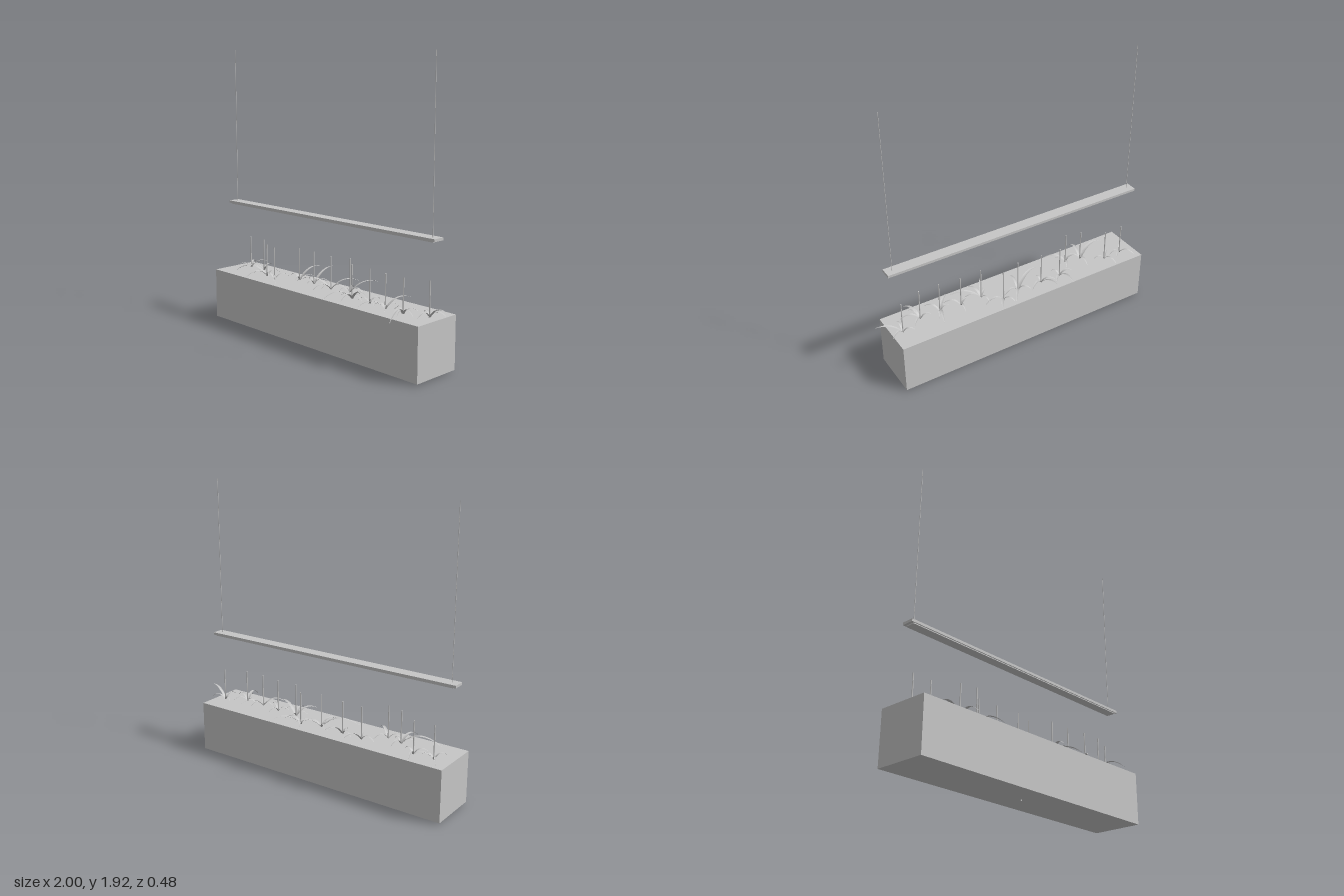
import * as THREE from 'three';

const Z = 0.01; // centre line of the planter and lamp
const MID = -0.0475;
const SOIL = 0.357;

// Root of each plant: x, z
const ROOTS = [
  [-0.885, -0.05], [-0.745, -0.055], [-0.6, 0.04], [-0.49, 0.065], [-0.36, -0.05], [-0.21, -0.045], [-0.03, -0.03],
  [0.11, -0.07], [0.225, 0.03], [0.38, 0.03], [0.53, 0.05], [0.675, 0.05], [0.83, -0.01],
];

// Long leaves: plant number, tip x, tip z, tip height above the soil
const LONG_LEAVES = [
  [0, -0.79, -0.14, 0.04], [2, -0.63, 0.22, 0], [2, -0.85, 0.12, 0.01], [3, -0.36, 0.17, 0.01],
  [4, -0.345, -0.245, 0.07], [5, -0.225, -0.24, 0.09], [6, 0.08, -0.19, 0.05], [6, -0.26, 0.08, 0.03],
  [6, -0.055, 0.12, 0.01], [7, 0.22, -0.235, 0.06], [8, 0.135, 0.2, 0.01], [8, 0.26, 0.17, 0.01],
  [8, 0.43, 0.105, 0.05], [10, 0.41, 0.17, 0.01], [10, 0.59, -0.13, 0.05], [11, 0.73, 0.235, -0.012],
  [11, 0.8, 0.1, 0.01], [12, 1.0, 0.04, 0.068],
];

// Arching leaf: a creased, tapering ribbon along a curve
function leafGeometry([bx, bz], tx, tz, tipRise) {
  const base = new THREE.Vector3(bx, SOIL - 0.004, bz);
  const tip = new THREE.Vector3(tx, SOIL + tipRise, tz);
  const length = Math.hypot(tx - bx, tz - bz);
  const bend = base.clone().lerp(tip, 0.4).setY(SOIL + 0.03 + 0.35 * length);
  const curve = new THREE.QuadraticBezierCurve3(base, bend, tip);
  const side = new THREE.Vector3(tz - bz, 0, bx - tx).normalize();
  const width = 0.012 + 0.07 * length;
  const positions = [], index = [], steps = 8;
  for (let i = 0; i <= steps; i++) {
    const t = i / steps, p = curve.getPoint(t);
    const half = width * 0.5 * (0.6 + 0.8 * t * (1 - t)) * (1 - t ** 3) + 0.0006;
    for (const s of [-1, 0, 1]) {
      positions.push(p.x + side.x * half * s, p.y + Math.abs(s) * half * 0.35, p.z + side.z * half * s);
    }
    if (i === steps) break;
    for (const c of [0, 1]) {
      const a = i * 3 + c;
      index.push(a, a + 1, a + 3, a + 1, a + 4, a + 3);
    }
  }
  const g = new THREE.BufferGeometry();
  g.setAttribute('position', new THREE.Float32BufferAttribute(positions, 3));
  g.setIndex(index);
  g.computeVertexNormals();
  return g;
}

export function createModel() {
  const model = new THREE.Group();
  model.name = 'planterWithHangingLamp';
  const grey = new THREE.MeshStandardMaterial({ color: 0xc6c6c6, side: THREE.DoubleSide });
  grey.name = 'light grey';

  const add = (name, geometry, x = 0, y = 0, z = 0, parent = model) => {
    const mesh = new THREE.Mesh(geometry, grey);
    mesh.name = name;
    mesh.position.set(x, y, z);
    parent.add(mesh);
  };

  // Planter trough with a small drain stub beneath
  add('planter', new THREE.BoxGeometry(1.905, 0.347, 0.348), MID, 0.1835, Z);
  add('drainStub', new THREE.CylinderGeometry(0.004, 0.004, 0.02, 12), MID, 0.01, Z);

  // Hanging lamp: housing, diffuser and two suspension wires
  add('lampHousing', new THREE.BoxGeometry(1.905, 0.017, 0.08), MID, 0.8385, Z);
  add('lampDiffuser', new THREE.BoxGeometry(1.87, 0.008, 0.066), MID, 0.828, Z);
  for (const s of [-1, 1]) {
    add('suspensionWire', new THREE.CylinderGeometry(0.002, 0.002, 1.075, 8), MID + s * 0.907, 1.3825, Z);
  }

  // Plants: an upright stem, a fan of short leaves and the long leaves
  const stem = new THREE.CylinderGeometry(0.004, 0.004, 0.23, 8);
  ROOTS.forEach((root, i) => {
    const plant = new THREE.Group();
    plant.name = 'plant';
    model.add(plant);
    add('stem', stem, root[0], 0.465, root[1], plant);
    for (let k = 0; k < 3; k++) {
      const angle = i * 2.4 + k * 2.1;
      const reach = 0.07 + 0.02 * ((i + k) % 3);
      const tx = root[0] + Math.cos(angle) * reach * 1.2;
      const tz = root[1] + Math.sin(angle) * reach;
      add('shortLeaf', leafGeometry(root, tx, tz, 0.01), 0, 0, 0, plant);
    }
    for (const [owner, tx, tz, rise] of LONG_LEAVES) {
      if (owner === i) add('longLeaf', leafGeometry(root, tx, tz, rise), 0, 0, 0, plant);
    }
  });
  return model;
}
